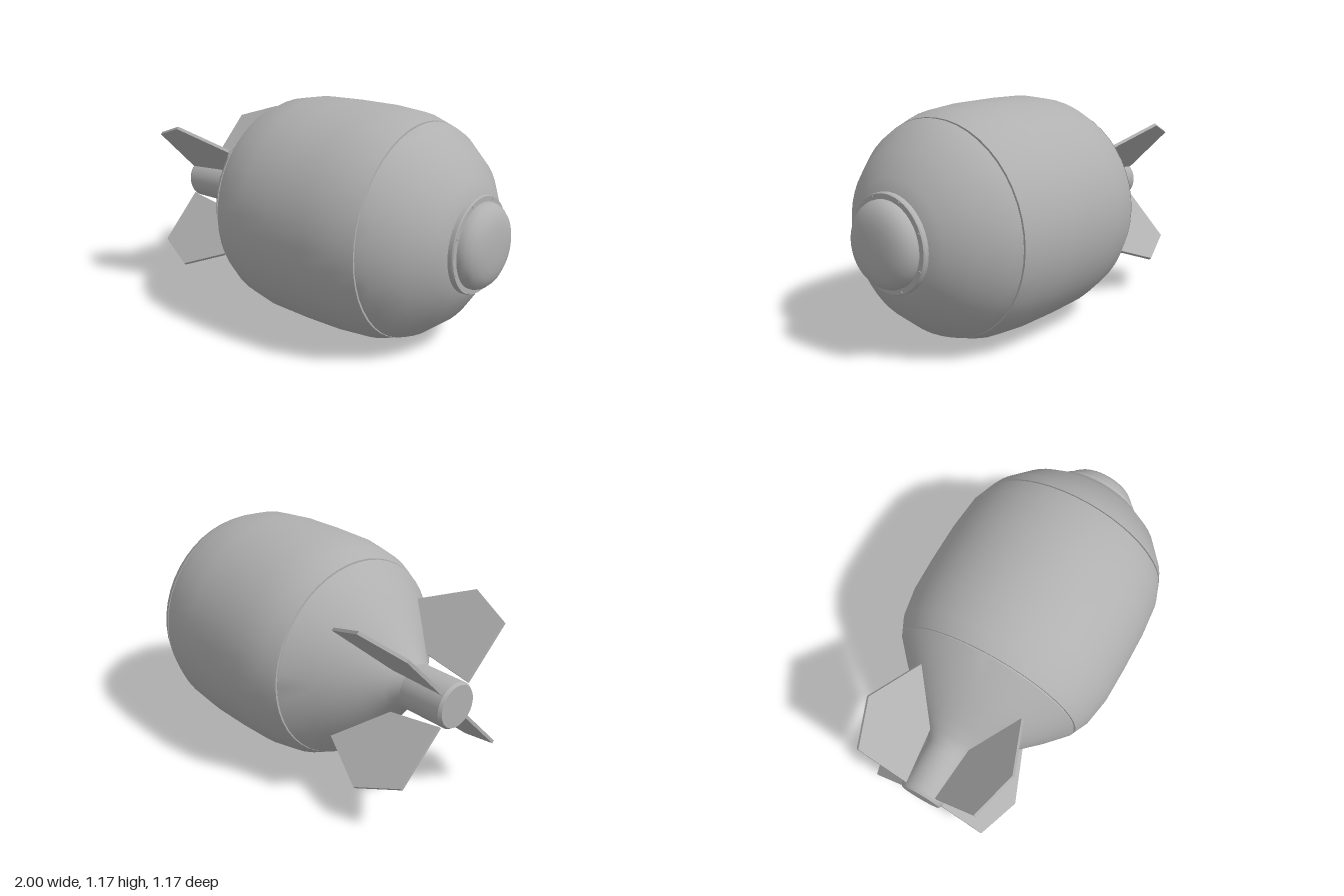
import * as THREE from 'three';
import { toCreasedNormals } from 'three/addons/utils/BufferGeometryUtils.js';

const RADIUS = 0.586;

export function createModel() {
  const model = new THREE.Group();
  model.name = 'finnedBomb';
  const metal = new THREE.MeshStandardMaterial({ color: 0xb0b0b0 });
  metal.name = 'grey metal';

  // Everything is built round the x axis, then lifted to stand on y = 0
  const assembly = new THREE.Group();
  assembly.name = 'assembly';
  assembly.position.y = RADIUS;
  model.add(assembly);

  function add(name, geometry, parent = assembly) {
    const mesh = new THREE.Mesh(geometry, metal);
    mesh.name = name;
    parent.add(mesh);
    return mesh;
  }

  // Profile of [x, radius] pairs from tail to nose, turned round the x axis
  function turned(name, profile, crease = 0.5) {
    const points = profile.map(([x, r]) => new THREE.Vector2(r, x));
    const geometry = new THREE.LatheGeometry(points, 48);
    geometry.rotateZ(-Math.PI / 2);
    return add(name, toCreasedNormals(geometry, crease));
  }

  // Narrow seam cut into the hull
  const seam = (x, r0, r1) => [
    [x - 0.005, r0], [x - 0.005, r0 - 0.01], [x + 0.005, r1 - 0.01], [x + 0.005, r1],
  ];

  turned('hull', [
    [-0.75, 0], [-0.75, 0.115], [-0.72, 0.124], [-0.685, 0.15], [-0.62, 0.22],
    [-0.55, 0.303], [-0.45, 0.408], ...seam(-0.333, 0.51, 0.514), [-0.25, 0.552],
    [-0.1, 0.58], [0.08, RADIUS], [0.3, RADIUS], [0.48, 0.572],
    ...seam(0.58, 0.541, 0.538), [0.635, 0.516], [0.76, 0.418], [0.845, 0.298],
    [0.885, 0.215], [0.885, 0],
  ]);

  // Tail tube with a chamfered end
  turned('tailTube', [[-1, 0], [-1, 0.105], [-0.985, 0.115], [-0.74, 0.115], [-0.74, 0]]);

  // Nose flange and rounded cap
  turned('noseFlange', [
    [0.872, 0], [0.872, 0.232], [0.877, 0.24], [0.898, 0.24], [0.905, 0.236], [0.905, 0],
  ]);
  turned('noseCap', [
    [0.9, 0.21], [0.92, 0.21], [0.943, 0.201], [0.965, 0.18], [0.982, 0.149],
    [0.993, 0.108], [0.998, 0.06], [1, 0],
  ]);

  // Eight small bolts round the flange
  const bolts = new THREE.Group();
  bolts.name = 'flangeBolts';
  assembly.add(bolts);
  for (let i = 0; i < 8; i++) {
    const a = ((i + 0.5) * Math.PI) / 4;
    const bolt = add('bolt', new THREE.CylinderGeometry(0.006, 0.006, 0.006, 10), bolts);
    bolt.rotation.z = -Math.PI / 2;
    bolt.position.set(0.906, 0.227 * Math.cos(a), 0.227 * Math.sin(a));
  }

  // Four flat tail fins on the diagonals
  const outline = [[-0.98, 0.122], [-0.7, 0.163], [-0.47, 0.403], [-0.75, 0.553], [-0.98, 0.448]];
  const finShape = new THREE.Shape(outline.map(([x, r]) => new THREE.Vector2(x, r)));
  const finGeometry = new THREE.ExtrudeGeometry(finShape, { depth: 0.016, bevelEnabled: false });
  finGeometry.translate(0, 0, -0.008);
  for (let i = 0; i < 4; i++) {
    add('tailFin', finGeometry).rotation.x = Math.PI / 4 + (i * Math.PI) / 2;
  }

  return model;
}
